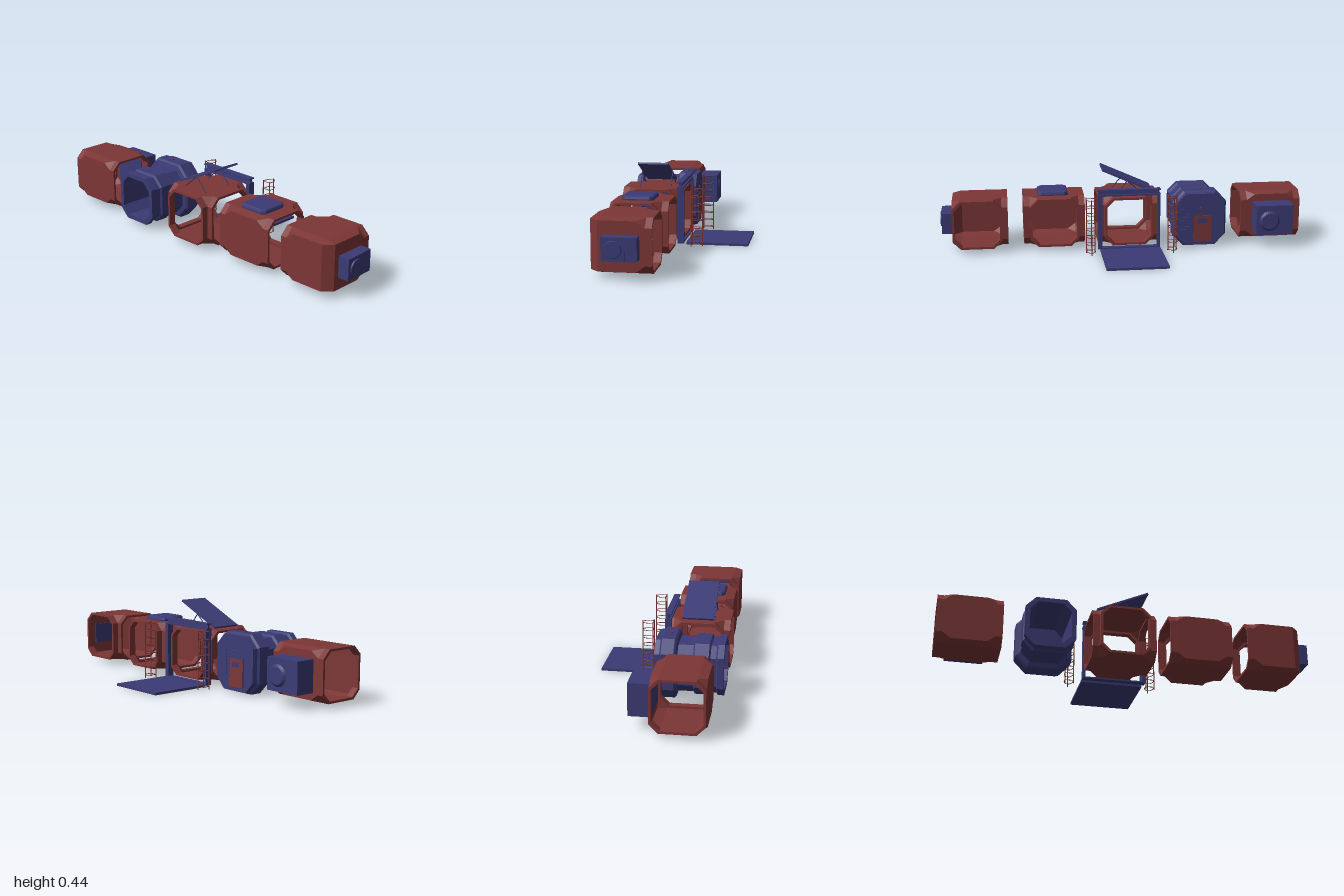
import * as THREE from 'three';
import { ConvexGeometry } from 'three/addons/geometries/ConvexGeometry.js';

const mat = (color, side = THREE.FrontSide) =>
  new THREE.MeshStandardMaterial({ color, flatShading: true, side });
const RED = mat(0x7d3636), BLUE = mat(0x3b3b75);
const RED2 = mat(0x7d3636, THREE.DoubleSide), BLUE2 = mat(0x3b3b75, THREE.DoubleSide);

const C = 0.134, K = 0.09, WALL = 0.122; // half size, corner cut, wall height under the roof bevel
const MID = 0.16;                        // height of every module's centre

function add(parent, name, geo, material, x = 0, y = 0, z = 0) {
  const m = new THREE.Mesh(geo, material);
  m.name = name;
  m.position.set(x, y, z);
  parent.add(m);
  return m;
}

// box given by its limits
function box(parent, name, material, x0, x1, y0, y1, z0, z1) {
  return add(parent, name, new THREE.BoxGeometry(x1 - x0, y1 - y0, z1 - z0), material,
    (x0 + x1) / 2, (y0 + y1) / 2, (z0 + z1) / 2);
}

// round bar between two points
function bar(parent, name, material, a, b, r) {
  const p = new THREE.Vector3(...a), q = new THREE.Vector3(...b), d = q.clone().sub(p);
  const m = add(parent, name, new THREE.CylinderGeometry(r, r, d.length(), 6), material);
  m.position.copy(p).add(q).multiplyScalar(0.5);
  m.quaternion.setFromUnitVectors(new THREE.Vector3(0, 1, 0), d.normalize());
}

const octagon = (h, k) => [[h, k], [k, h], [-k, h], [-h, k], [-h, -k], [-k, -h], [k, -h], [h, -k]];

// corner-cut cube shell; faces pointing along an open direction are left out
function shellGeometry(open) {
  const pts = [];
  for (const sx of [-1, 1]) for (const sy of [-1, 1]) for (const sz of [-1, 1]) {
    const ox = open.includes(sx < 0 ? '-x' : '+x'), oz = open.includes(sz < 0 ? '-z' : '+z');
    let set;
    if (ox && oz) set = [[K, C, C], [C, K, C], [C, C, K]];
    else if (oz) set = [[K, C, C], [C, K, C], [C, WALL, K], [K, C, K]];
    else if (ox) set = [[C, C, K], [C, K, C], [K, WALL, C], [K, C, K]];
    else set = [[K, C, K], [C, WALL, K], [K, WALL, C]];
    for (const [x, y, z] of set) pts.push(new THREE.Vector3(x * sx, y * sy, z * sz));
  }
  const hull = new ConvexGeometry(pts), p = hull.attributes.position, n = hull.attributes.normal;
  const kept = [];
  for (let i = 0; i < p.count; i += 3) {
    const nx = n.getX(i), nz = n.getZ(i);
    const dir = nx > 0.99 ? '+x' : nx < -0.99 ? '-x' : nz > 0.99 ? '+z' : nz < -0.99 ? '-z' : '';
    if (open.includes(dir)) continue;
    for (let j = i; j < i + 3; j++) kept.push(p.getX(j), p.getY(j), p.getZ(j));
  }
  const geo = new THREE.BufferGeometry();
  geo.setAttribute('position', new THREE.Float32BufferAttribute(kept, 3));
  geo.computeVertexNormals();
  return geo;
}

// eight-sided collar around an opening
function flangeGeometry() {
  const s = new THREE.Shape(octagon(C, K).map(([x, y]) => new THREE.Vector2(x, y)));
  s.holes.push(new THREE.Path(octagon(0.122, 0.082).reverse().map(([x, y]) => new THREE.Vector2(x, y))));
  return new THREE.ExtrudeGeometry(s, { depth: 0.036, bevelEnabled: false });
}

const TURN = { '+z': 0, '+x': Math.PI / 2, '-z': Math.PI, '-x': -Math.PI / 2 };

function corridor(parent, name, x, z, open) {
  const g = new THREE.Group();
  g.name = name;
  g.position.set(x, MID, z);
  add(g, 'shell', shellGeometry(open), RED2);
  for (const dir of open) {
    const pivot = new THREE.Group();
    pivot.name = 'openingCollar';
    pivot.rotation.y = TURN[dir];
    add(pivot, 'collar', flangeGeometry(), RED, 0, 0, 0.132);
    g.add(pivot);
  }
  parent.add(g);
}

// eight-sided loft along x through [x, half height, half width] stations, last one capped
function loftGeometry(stations) {
  const pos = [], idx = [];
  for (const [x, hy, hz] of stations)
    for (const [a, b] of octagon(1, 0.6)) pos.push(x, a * hy, b * hz);
  for (let s = 0; s < stations.length - 1; s++)
    for (let i = 0; i < 8; i++) {
      const a = s * 8 + i, b = s * 8 + (i + 1) % 8;
      idx.push(a, b, b + 8, a, b + 8, a + 8);
    }
  const e = (stations.length - 1) * 8;
  for (let i = 1; i < 7; i++) idx.push(e, e + i, e + i + 1);
  const geo = new THREE.BufferGeometry();
  geo.setAttribute('position', new THREE.Float32BufferAttribute(pos, 3));
  geo.setIndex(idx);
  const flat = geo.toNonIndexed();
  flat.computeVertexNormals();
  return flat;
}

// cage ladder: three posts tied by D-shaped rungs
function ladder(parent, z) {
  const g = new THREE.Group();
  g.name = 'ladder';
  g.position.z = z;
  const x0 = 0.05, x1 = 0.107, w = 0.023;
  for (const [x, dz] of [[x0, -w], [x0, w], [x1, 0]])
    bar(g, 'ladderPost', RED, [x, 0.006, dz], [x, 0.318, dz], 0.003);
  const pts = [[x0, -w], [0.08, -w], [0.1, -0.014], [x1, 0], [0.1, 0.014], [0.08, w], [x0, w]]
    .map(([x, dz]) => new THREE.Vector3(x, 0, dz));
  for (let i = 0; i < 8; i++) {
    const y = 0.022 + i * 0.0415;
    add(g, 'ladderHoop', new THREE.TubeGeometry(new THREE.CatmullRomCurve3(pts), 16, 0.002, 5), RED, 0, y);
    bar(g, 'ladderRung', RED, [x0, y, -w], [x0, y, w], 0.002);
  }
  parent.add(g);
}

export function createModel() {
  const root = new THREE.Group();
  root.name = 'modularStation';

  // red corridor modules
  corridor(root, 'cornerModule', -0.189, 0.798, ['+x', '-z']);
  corridor(root, 'teeModule', -0.189, 0.376, ['+x', '+z', '-z']);
  corridor(root, 'crossModule', -0.175, -0.033, ['+x', '-x', '+z', '-z']);
  corridor(root, 'straightModule', -0.177, -0.833, ['+z', '-z']);

  // equipment box on the corner module
  box(root, 'frontUnit', BLUE, -0.25, -0.136, 0.102, 0.216, 0.925, 0.993);
  box(root, 'frontUnitSide', BLUE, -0.136, -0.08, 0.102, 0.216, 0.925, 0.99);
  const fan = add(root, 'frontFan', new THREE.CylinderGeometry(0.04, 0.044, 0.01, 24), BLUE, -0.194, 0.158, 0.995);
  fan.rotation.x = Math.PI / 2;

  // equipment box on the straight module
  box(root, 'sideUnit', BLUE, -0.046, 0.066, 0.077, 0.243, -0.937, -0.732);
  const sideFan = add(root, 'sideFan', new THREE.CylinderGeometry(0.045, 0.058, 0.012, 24), BLUE, 0.071, 0.157, -0.804);
  sideFan.rotation.z = -Math.PI / 2;

  // roof hatch on the tee module
  const hatch = new THREE.Shape(octagon(0.072, 0.06).map(([x, y]) => new THREE.Vector2(x, y)));
  const hatchGeo = new THREE.ExtrudeGeometry(hatch,
    { depth: 0.006, bevelThickness: 0.016, bevelSize: 0.012, bevelSegments: 2 });
  const lid = add(root, 'roofHatch', hatchGeo, BLUE, -0.187, 0.294, 0.38);
  lid.rotation.x = -Math.PI / 2;

  // door frame with I-beam rail beside the cross module
  const frame = new THREE.Group();
  frame.name = 'doorFrame';
  box(frame, 'railTop', BLUE, -0.036, -0.003, 0.334, 0.342, -0.205, 0.143);
  box(frame, 'railWeb', BLUE, -0.025, -0.014, 0.314, 0.335, -0.2, 0.138);
  box(frame, 'railBottom', BLUE, -0.036, -0.003, 0.306, 0.315, -0.205, 0.143);
  box(frame, 'sill', BLUE, -0.036, -0.003, 0.006, 0.014, -0.2, 0.14);
  box(frame, 'frontPost', BLUE, -0.036, 0, 0.006, 0.308, 0.117, 0.14);
  box(frame, 'backPost', BLUE, -0.036, 0, 0.006, 0.308, -0.203, -0.19);
  root.add(frame);

  // landing plate
  box(root, 'landingPlate', BLUE, 0.012, 0.346, 0, 0.013, -0.203, 0.13);

  // tilted roof panel with struts
  const tilt = Math.atan(0.45);
  const panel = add(root, 'roofPanel', new THREE.BoxGeometry(0.166, 0.01, 0.302), BLUE, -0.173, 0.37, -0.032);
  panel.rotation.x = -tilt;
  for (const x of [-0.257, -0.088]) {
    bar(root, 'panelStrut', BLUE, [x, 0.37, -0.03], [x, 0.294, 0.035], 0.003);
    bar(root, 'panelStrut', BLUE, [x, 0.37, -0.03], [x, 0.294, -0.12], 0.003);
  }

  // blue airlock: inner lining, open rim, stepped outer rings, closed end
  const airlock = new THREE.Group();
  airlock.name = 'airlockModule';
  airlock.position.set(0, MID, -0.427);
  add(airlock, 'airlockHull', loftGeometry([
    [-0.03, 0.112, 0.108], [-0.348, 0.112, 0.108], [-0.348, 0.135, 0.132], [-0.316, 0.135, 0.132],
    [-0.308, 0.124, 0.122], [-0.28, 0.124, 0.122], [-0.272, 0.135, 0.132], [-0.2, 0.135, 0.132],
    [-0.192, 0.124, 0.122], [-0.114, 0.124, 0.122], [-0.108, 0.148, 0.142], [-0.098, 0.157, 0.15],
    [-0.035, 0.157, 0.15], [-0.026, 0.148, 0.14], [0, 0.146, 0.135],
  ]), BLUE2);
  box(airlock, 'doorSurround', BLUE, -0.002, 0.002, -0.132, 0.03, -0.07, 0.042);
  box(airlock, 'airlockDoor', RED, 0, 0.005, -0.125, 0.024, -0.063, 0.035);
  box(airlock, 'doorWindow', BLUE, 0.003, 0.006, -0.02, 0.006, -0.04, 0.012);
  for (let i = 0; i < 8; i++)
    box(airlock, 'ventSlat', BLUE, -0.002, 0.004, -0.063 + i * 0.0165, -0.053 + i * 0.0165, 0.058, 0.113);
  add(airlock, 'statusLamp', new THREE.SphereGeometry(0.005, 8, 6), RED, 0.002, 0.065, 0.0);
  add(airlock, 'roofLamp', new THREE.CylinderGeometry(0.008, 0.009, 0.012, 10), RED, -0.067, 0.158, -0.007);
  root.add(airlock);

  ladder(root, 0.186);
  ladder(root, -0.262);
  return root;
}
